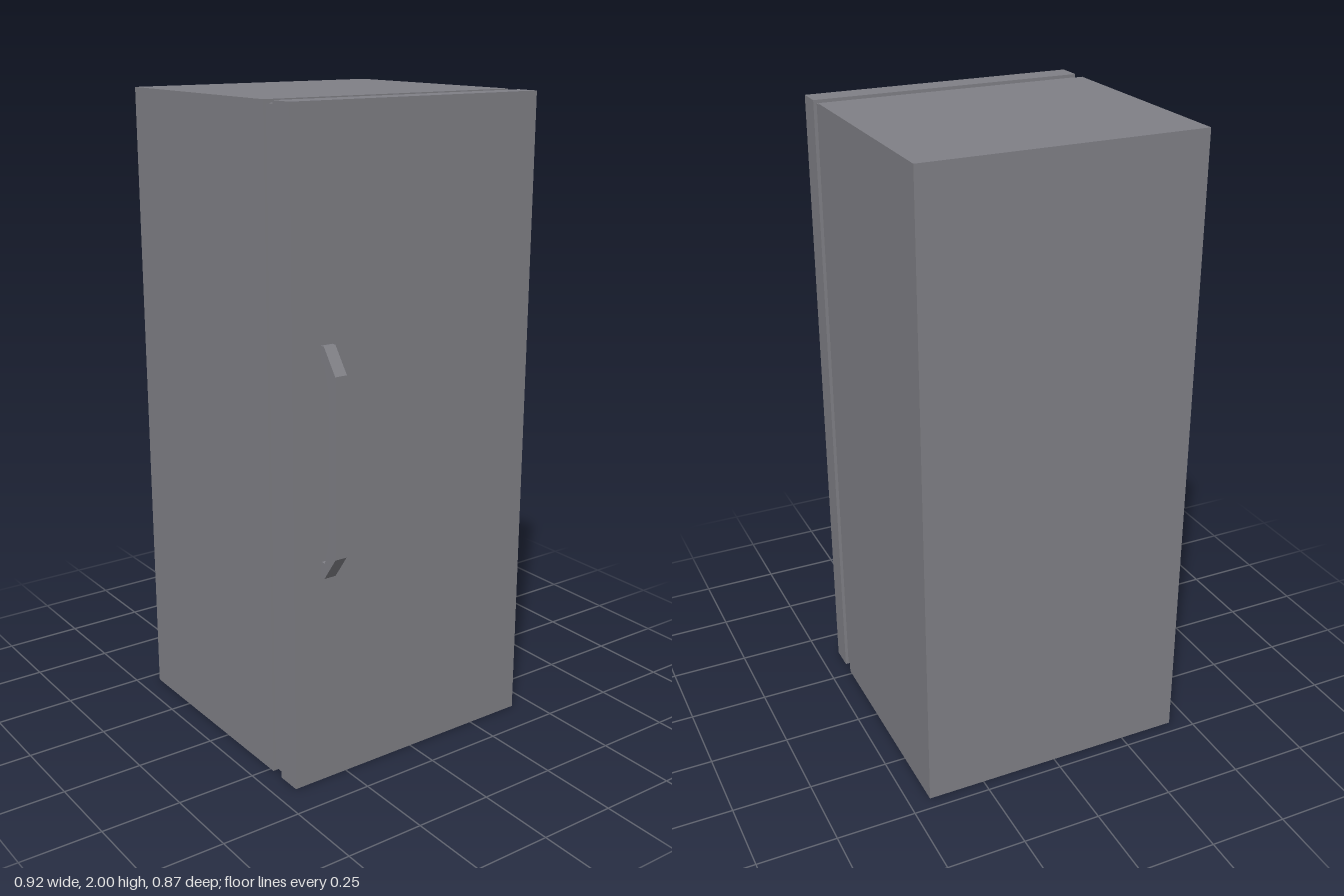
import * as THREE from 'three';

export function createModel() {
  const model = new THREE.Group();
  model.name = 'refrigerator';

  const grey = new THREE.MeshStandardMaterial({ color: 0x808086 });
  grey.name = 'grey enamel';

  // Upright slab spanning x0..x1, inset evenly at top, bottom, front and back
  function slab(name, x0, x1, inset) {
    const geometry = new THREE.BoxGeometry(x1 - x0, 2 - 2 * inset, 0.866 - 2 * inset);
    const mesh = new THREE.Mesh(geometry, grey);
    mesh.name = name;
    mesh.position.set((x0 + x1) / 2, 1, 0);
    model.add(mesh);
  }
  slab('cabinet', -0.459, 0.265, 0);
  slab('doorSeal', 0.265, 0.311, 0.01);
  slab('door', 0.311, 0.389, 0);

  // Angular pull handle: upper half of its outline, mirrored about mid height
  const outer = [[0.389, 0.343], [0.403, 0.343], [0.457, 0.268]];
  const inner = [[0.427, 0.218], [0.405, 0.295], [0.389, 0.295]];
  const flip = (points) => points.map(([x, y]) => [x, -y]).reverse();
  const outline = [...outer, ...flip(outer), ...flip(inner), ...inner];
  const shape = new THREE.Shape(outline.map(([x, y]) => new THREE.Vector2(x, y)));
  const handle = new THREE.Mesh(
    new THREE.ExtrudeGeometry(shape, { depth: 0.039, bevelEnabled: false }), grey);
  handle.name = 'doorHandle';
  handle.position.set(0, 1.002, 0.298);
  model.add(handle);

  return model;
}
